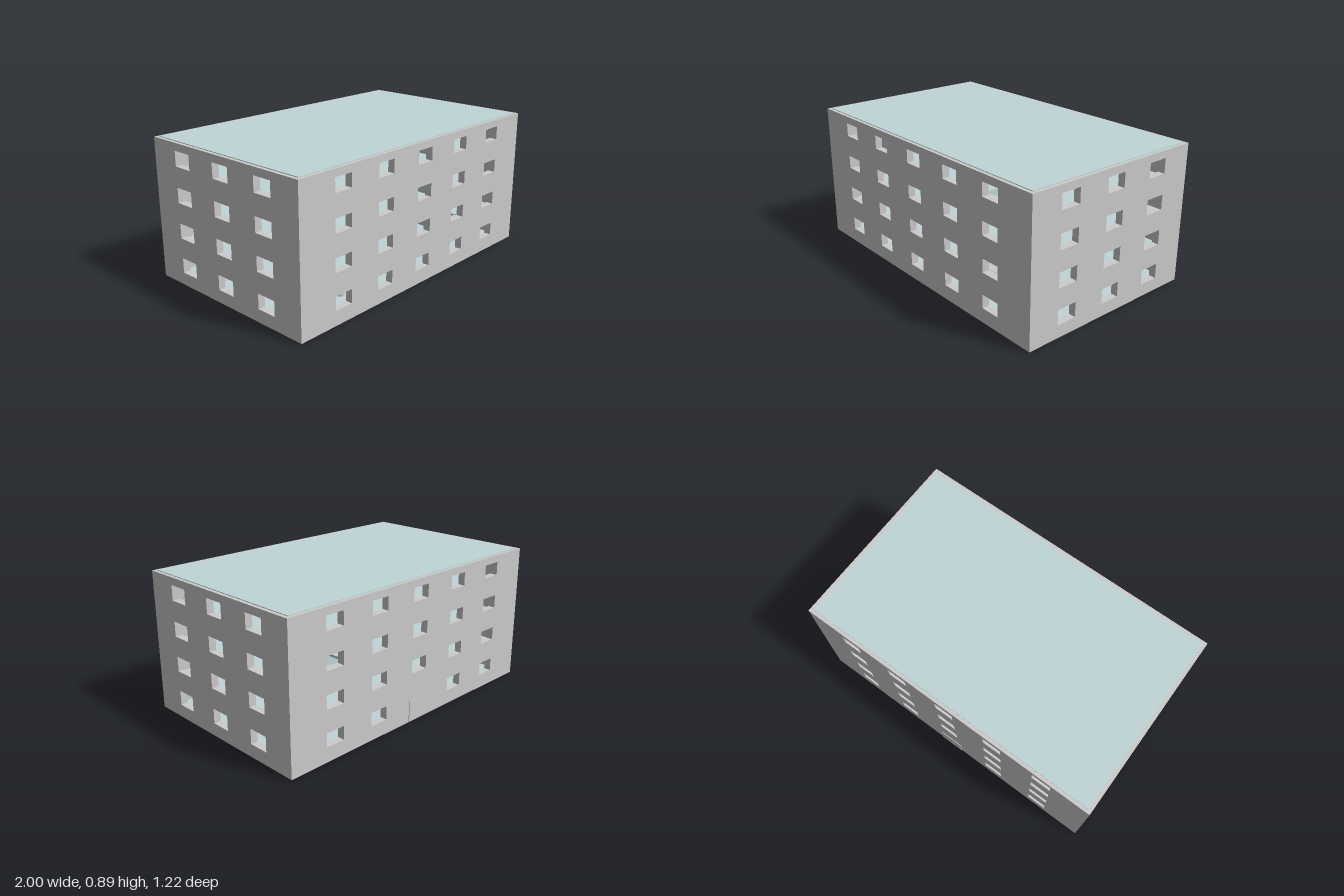
import * as THREE from 'three';

const grey = new THREE.MeshStandardMaterial({ color: 0xcccccc });
const teal = new THREE.MeshStandardMaterial({ color: 0xc0d6d8 });

const H = 0.88, T = 0.045, STOREY = 0.22;
const BACK = -0.606, FRONT = 0.61, MID = (BACK + FRONT) / 2, DEPTH = FRONT - BACK;

function rect(Type, x0, x1, y0, y1) {
  const p = new Type();
  p.moveTo(x0, y0);
  p.lineTo(x1, y0);
  p.lineTo(x1, y1);
  p.lineTo(x0, y1);
  p.closePath();
  return p;
}

function add(parent, name, geometry, material) {
  const mesh = new THREE.Mesh(geometry, material);
  mesh.name = name;
  parent.add(mesh);
  return mesh;
}

// box given by its limits on each axis
function block(parent, name, material, x0, x1, y0, y1, z0, z1) {
  const mesh = add(parent, name, new THREE.BoxGeometry(x1 - x0, y1 - y0, z1 - z0), material);
  mesh.position.set((x0 + x1) / 2, (y0 + y1) / 2, (z0 + z1) / 2);
  return mesh;
}

// wall panel pierced by a grid of windows, one row per storey
function wall(parent, name, halfWidth, columns, winWidth, sill, winHeight, skip = () => false) {
  const shape = rect(THREE.Shape, -halfWidth, halfWidth, 0, H);
  for (let row = 0; row < 4; row++) {
    columns.forEach((c, i) => {
      if (skip(row, i)) return;
      const y = sill + row * STOREY;
      shape.holes.push(rect(THREE.Path, c - winWidth / 2, c + winWidth / 2, y, y + winHeight));
    });
  }
  return add(parent, name, new THREE.ExtrudeGeometry(shape, { depth: T, bevelEnabled: false }), grey);
}

// straight flight of solid steps rising away from z = 0
function stairs(parent, y, dir) {
  const flight = new THREE.Group();
  flight.name = 'stairs';
  const n = 12, run = 0.45 / n, rise = STOREY / n;
  for (let i = 0; i < n; i++) {
    const step = block(flight, 'step', grey, 0.42, 0.6, y + i * rise - 0.005, y + (i + 1) * rise, 0, run);
    step.position.z = dir * (i + 0.5) * run;
  }
  parent.add(flight);
}

export function createModel() {
  const building = new THREE.Group();
  building.name = 'building';

  // outer walls
  const xs = [-0.685, -0.343, 0, 0.343, 0.685];
  wall(building, 'frontWall', 1, xs, 0.125, 0.09, 0.084).position.z = FRONT - T;
  wall(building, 'backWall', 1, xs, 0.125, 0.09, 0.084, (row, i) => row === 0 && i === 2).position.z = BACK;
  const zs = [-0.341, 0, 0.341];
  for (const side of [1, -1]) {
    const w = wall(building, side > 0 ? 'leftWall' : 'rightWall', DEPTH / 2 - T, zs, 0.13, 0.08, 0.093);
    w.rotation.y = side * Math.PI / 2;
    w.position.set(side * (1 - T), 0, MID);
  }

  // back door
  block(building, 'backDoor', grey, -0.08, 0.08, 0.003, 0.14, -0.61, BACK + T + 0.005);

  // ground slab and roof
  block(building, 'groundFloor', teal, -0.99, 0.99, -0.002, 0.012, BACK + 0.01, FRONT - 0.01);
  block(building, 'roof', teal, -0.977, 0.977, H - 0.02, H + 0.004, BACK + 0.022, FRONT - 0.022);

  // upper floors, each open above its flight of stairs
  for (let level = 1; level < 4; level++) {
    const dir = level % 2 ? 1 : -1;
    const shape = rect(THREE.Shape, -1 + T, 1 - T, -DEPTH / 2 + T, DEPTH / 2 - T);
    const near = -dir * 0.1, far = -dir * 0.45;
    shape.holes.push(rect(THREE.Path, 0.41, 0.61, Math.min(near, far), Math.max(near, far)));
    const slab = add(building, 'upperFloor', new THREE.ExtrudeGeometry(shape, { depth: 0.015, bevelEnabled: false }), teal);
    slab.rotation.x = -Math.PI / 2;
    slab.position.set(0, level * STOREY - 0.015, MID);
    stairs(building, (level - 1) * STOREY, dir);
  }

  // stairwell partitions on the middle storeys
  for (const level of [1, 2]) {
    const y = level * STOREY, top = y + STOREY - 0.015;
    block(building, 'stairwellWall', teal, 0.3, 0.32, y, top, -0.1, 0.48);
    block(building, 'stairwellLintel', teal, 0.32, 0.635, y + 0.148, top, -0.1, -0.08);
    block(building, 'stairwellJamb', teal, 0.615, 0.635, y, top, -0.1, -0.08);
  }
  block(building, 'roomPartition', teal, -0.46, 0.3, STOREY, 2 * STOREY - 0.015, -0.1, -0.08);

  // ground storey furniture: reception counter and round stools
  block(building, 'counter', grey, -0.12, 0.12, 0.012, 0.1, -0.02, 0.065);
  for (const z of [0.39, 0.345, 0.3]) {
    const stool = add(building, 'stool', new THREE.CylinderGeometry(0.022, 0.022, 0.088, 24), grey);
    stool.position.set(-0.48, 0.056, z);
  }

  // top storey: round tank and low tapered table
  const tank = add(building, 'tank', new THREE.CylinderGeometry(0.06, 0.06, 0.2, 32), grey);
  tank.position.set(-0.6, 0.76, 0.385);
  const table = add(building, 'table', new THREE.CylinderGeometry(0.07, 0.16, 0.1, 4, 1), teal);
  table.geometry.rotateY(Math.PI / 4);
  table.position.set(0, 0.71, 0);

  building.position.y = 0.002;
  return building;
}
